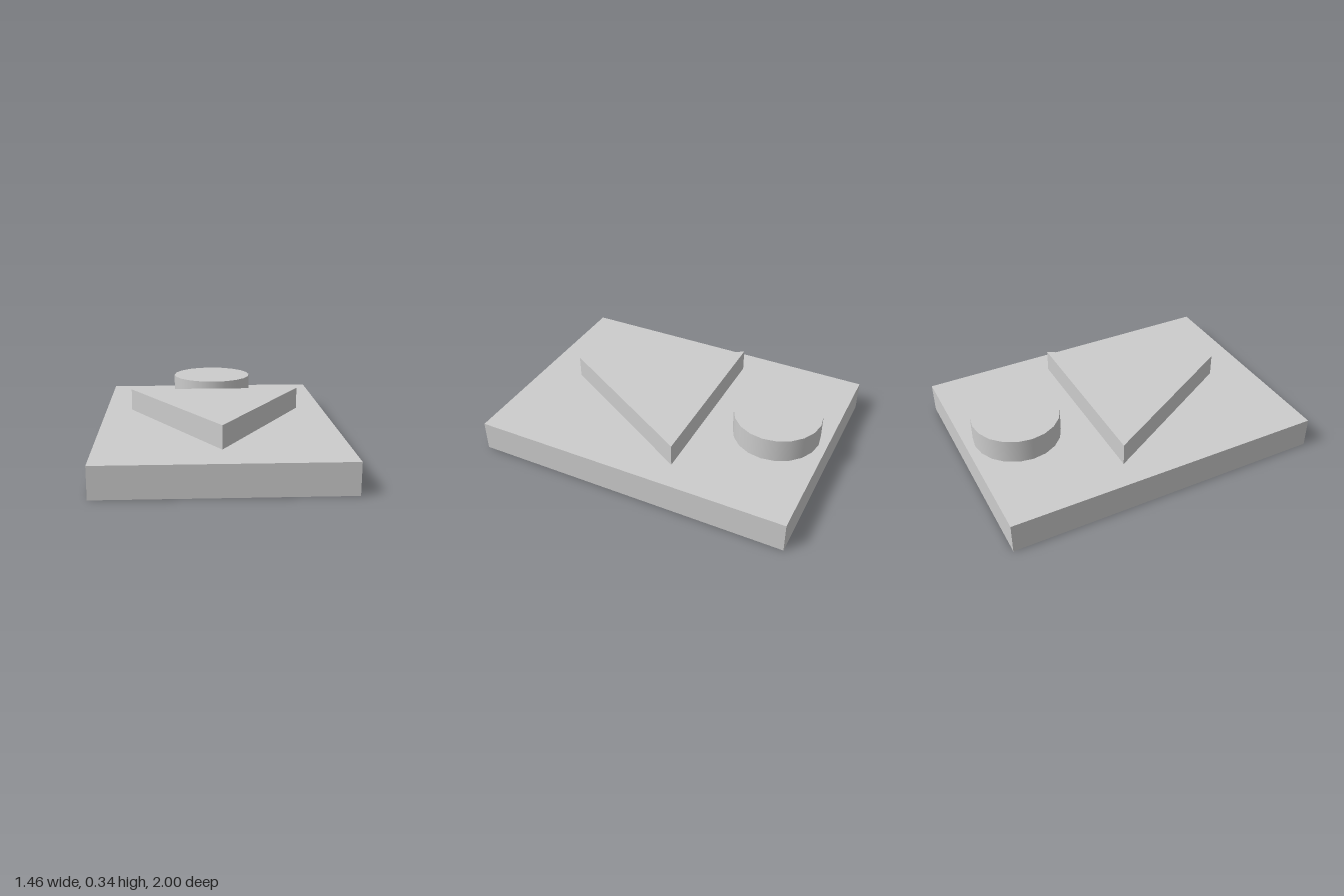
import * as THREE from 'three';

const PLATE_TOP = 0.19;

export function createModel() {
  const group = new THREE.Group();
  const material = new THREE.MeshStandardMaterial({ color: 0xcccccc });

  const add = (name, geometry, x, y, z) => {
    const mesh = new THREE.Mesh(geometry, material);
    mesh.name = name;
    mesh.position.set(x, y, z);
    group.add(mesh);
  };

  // Flat rectangular base
  add('basePlate', new THREE.BoxGeometry(1.455, PLATE_TOP, 2), 0, PLATE_TOP / 2, 0);

  // Equilateral triangular block, tip towards the front
  const triangle = new THREE.Shape([
    new THREE.Vector2(-0.557, 0.226),
    new THREE.Vector2(0, -0.739),
    new THREE.Vector2(0.557, 0.226),
  ]);
  const block = new THREE.ExtrudeGeometry(triangle, { depth: 0.14, bevelEnabled: false });
  block.rotateX(-Math.PI / 2); // shape y becomes -z, depth becomes height
  add('triangleBlock', block, 0, PLATE_TOP, 0);

  // Round button behind the triangle, slightly taller
  const height = 0.15;
  add('roundButton', new THREE.CylinderGeometry(0.271, 0.271, height, 20), 0, PLATE_TOP + height / 2, -0.676);

  return group;
}
